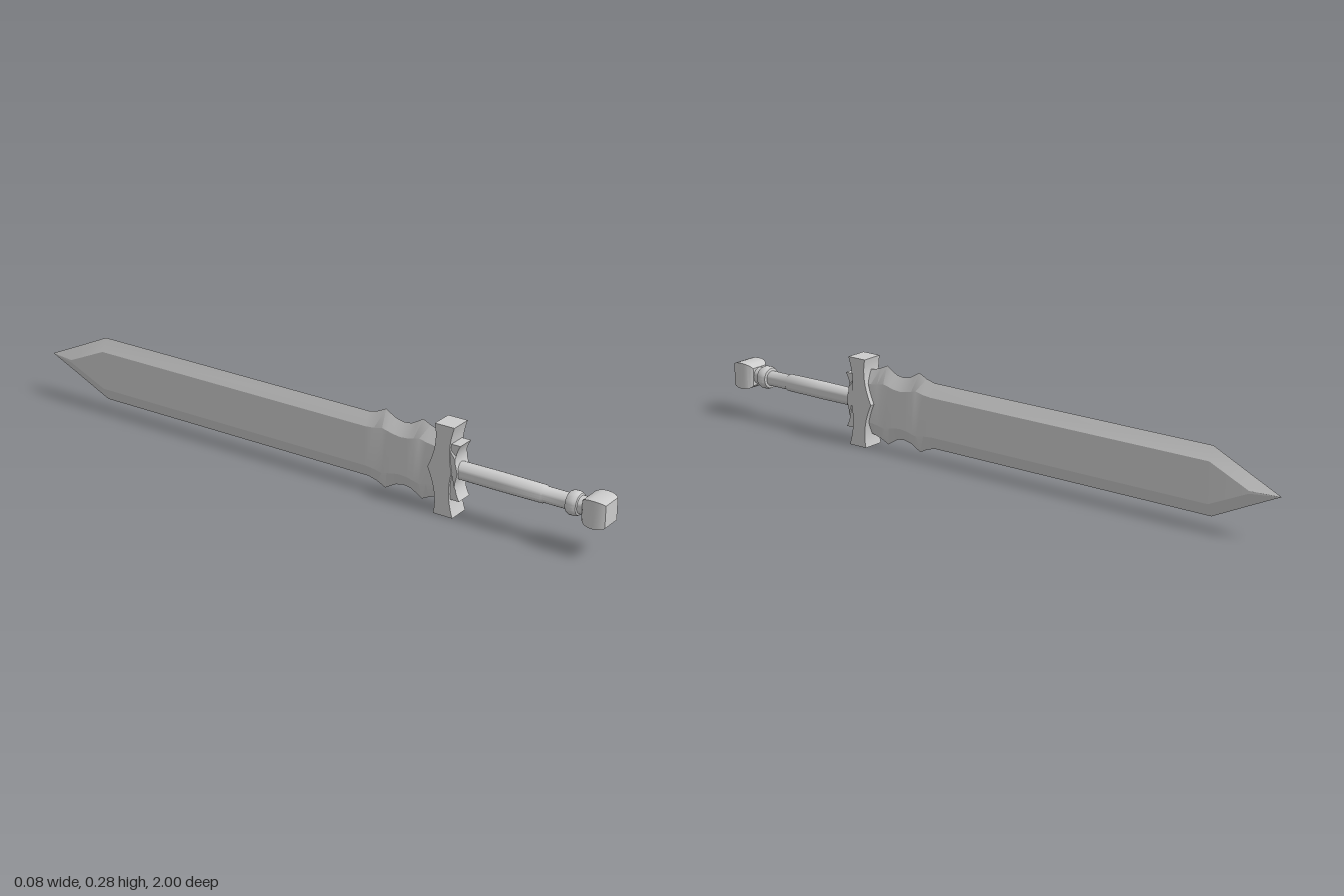
import * as THREE from 'three';
import { toCreasedNormals } from 'three/addons/utils/BufferGeometryUtils.js';

const AXIS_Y = 0.14; // height of the sword's long axis

const material = new THREE.MeshStandardMaterial({ color: 0xcccccc });

function addPart(group, name, geometry, crease = 0.6) {
  const mesh = new THREE.Mesh(toCreasedNormals(geometry, crease), material);
  mesh.name = name;
  mesh.position.y = AXIS_Y;
  group.add(mesh);
  return mesh;
}

// Turned part along z, from [radius, z] points
function turned(points, segments) {
  const profile = points.map(([r, z]) => new THREE.Vector2(r, z));
  return new THREE.LatheGeometry(profile, segments).rotateX(Math.PI / 2);
}

// Side outline in (z, y), extruded across x and centred
function extrudeAcross(shape, width) {
  const g = new THREE.ExtrudeGeometry(shape, { depth: width, bevelEnabled: false, curveSegments: 8 });
  return g.translate(0, 0, -width / 2).rotateY(-Math.PI / 2);
}

// Blade: six-sided sections [z, edge half-height, flat half-height, half-thickness]
function bladeGeometry() {
  const sections = [
    [0.47, 0.1, 0.062, 0.02], [0.44, 0.105, 0.062, 0.02], [0.415, 0.113, 0.065, 0.02],
    [0.39, 0.125, 0.071, 0.02], [0.37, 0.113, 0.066, 0.02], [0.35, 0.102, 0.061, 0.02],
    [0.325, 0.099, 0.059, 0.02], [0.3, 0.104, 0.062, 0.02], [0.28, 0.115, 0.067, 0.02],
    [0.263, 0.125, 0.071, 0.02], [0.235, 0.111, 0.065, 0.02], [0.205, 0.103, 0.062, 0.02],
    [-0.78, 0.103, 0.062, 0.02], [-0.91, 0.042, 0.004, 0.02], [-1, 0.0005, 0.0002, 0.0005],
  ];
  const positions = [];
  const index = [];
  sections.forEach(([z, h, f, t], s) => {
    positions.push(0, h, z, t, f, z, t, -f, z, 0, -h, z, -t, -f, z, -t, f, z);
    if (s === 0) return;
    for (let i = 0; i < 6; i++) {
      const a = (s - 1) * 6 + i, b = (s - 1) * 6 + (i + 1) % 6;
      index.push(a, b, a + 6, b, b + 6, a + 6);
    }
  });
  // End caps
  const last = (sections.length - 1) * 6;
  for (let i = 1; i < 5; i++) {
    index.push(0, i + 1, i);
    index.push(last, last + i, last + i + 1);
  }
  const g = new THREE.BufferGeometry();
  g.setAttribute('position', new THREE.Float32BufferAttribute(positions, 3));
  g.setIndex(index);
  return g;
}

// Crossguard: curved ends and a point toward the blade
function guardGeometry() {
  const s = new THREE.Shape();
  s.moveTo(0.515, 0.14);
  s.lineTo(0.45, 0.14);
  s.quadraticCurveTo(0.465, 0.075, 0.428, 0);
  s.quadraticCurveTo(0.465, -0.075, 0.45, -0.14);
  s.lineTo(0.515, -0.14);
  s.quadraticCurveTo(0.49, -0.07, 0.508, 0);
  s.quadraticCurveTo(0.49, 0.07, 0.515, 0.14);
  return extrudeAcross(s, 0.07);
}

// Wavy plate on the grip side of the guard, a little wider in the middle
function plateGeometry() {
  const s = new THREE.Shape();
  s.moveTo(0.48, -0.086);
  s.lineTo(0.532, -0.086);
  s.quadraticCurveTo(0.51, -0.05, 0.522, -0.02);
  s.lineTo(0.526, 0);
  s.lineTo(0.522, 0.02);
  s.quadraticCurveTo(0.51, 0.05, 0.532, 0.086);
  s.lineTo(0.48, 0.086);
  const g = extrudeAcross(s, 0.056);
  const p = g.attributes.position;
  for (let i = 0; i < p.count; i++) {
    if (Math.abs(p.getY(i)) < 0.05) p.setX(i, p.getX(i) * 1.18);
  }
  return g;
}

export function createModel() {
  const sword = new THREE.Group();
  sword.name = 'sword';

  addPart(sword, 'blade', bladeGeometry(), 0.4);
  addPart(sword, 'crossguard', guardGeometry());
  addPart(sword, 'guardPlate', plateGeometry());

  // Grip with a thinner section near the pommel
  addPart(sword, 'grip', turned([
    [0, 0.49], [0.027, 0.49], [0.028, 0.65], [0.027, 0.79], [0.024, 0.795], [0.024, 0.89], [0, 0.89],
  ], 24));

  // Rounded ring and neck
  addPart(sword, 'gripRing', turned([
    [0.024, 0.87], [0.032, 0.872], [0.036, 0.88], [0.036, 0.896], [0.032, 0.905],
    [0.027, 0.907], [0.027, 0.935], [0, 0.935],
  ], 24));

  // Square pommel with barrelled sides
  const pommel = [
    [0, 0.924], [0.028, 0.924], [0.035, 0.93], [0.039, 0.939], [0.0415, 0.952], [0.042, 0.965],
    [0.041, 0.98], [0.038, 0.992], [0.034, 1], [0, 1],
  ].map(([half, z]) => [half * Math.SQRT2, z]);
  addPart(sword, 'pommel', turned(pommel, 4).rotateZ(Math.PI / 4));

  return sword;
}
